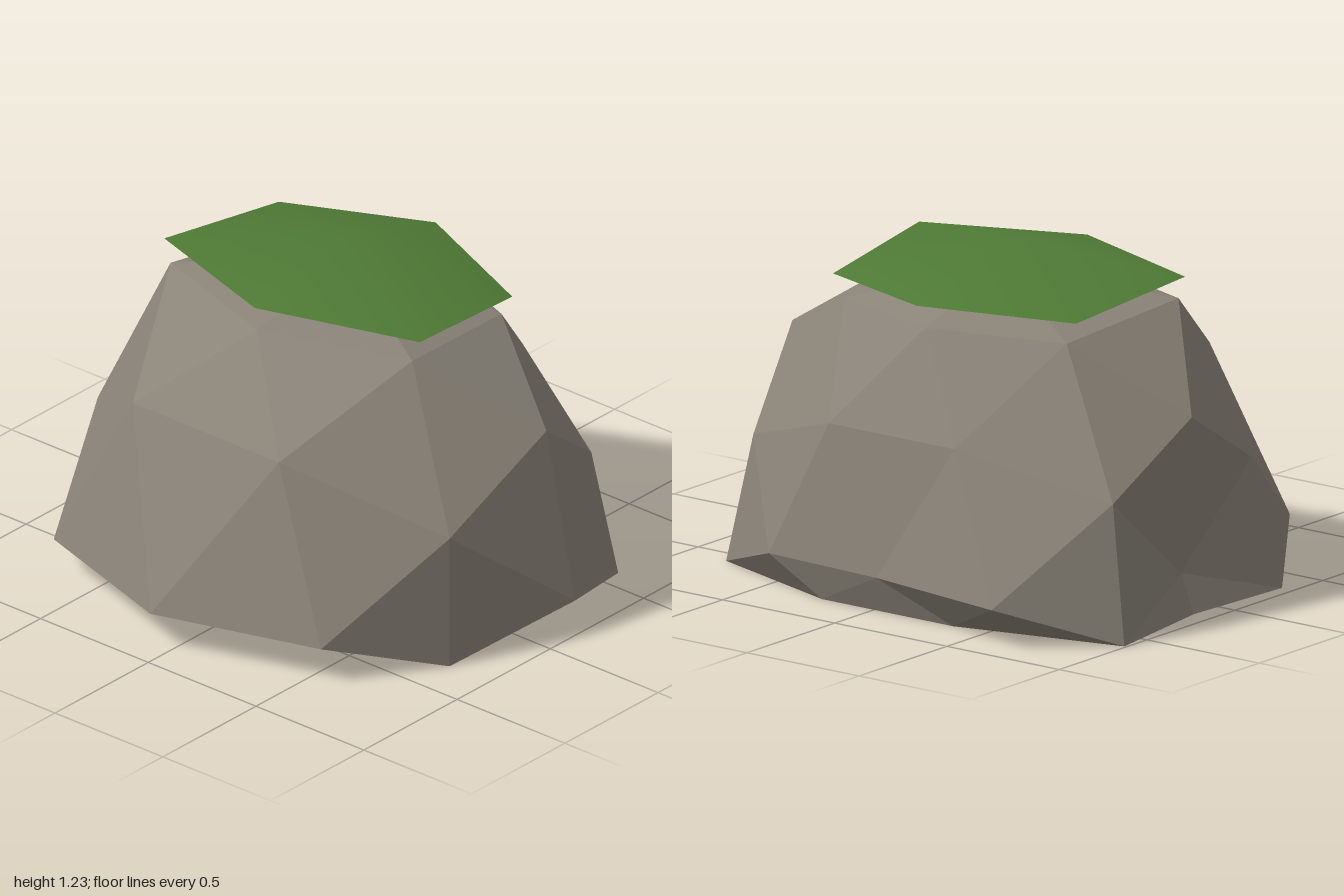
import * as THREE from 'three';
import { mergeVertices } from 'three/addons/utils/BufferGeometryUtils.js';

const CENTRE = new THREE.Vector3(-0.06, 0.14, -0.13);
const STRETCH = new THREE.Vector3(1.18, 1.29, 1);

// Radial bumps, keyed by |x|,|y| of the sphere vertex.
// Order: [+x+z, -x+z, +x-z, -x-z]; x = 0 or z = 0 counts as plus.
const UPPER = {
  '0.00,1.00': [0.915],
  '0.00,0.85': [0.91, 0, 0.82],
  '0.50,0.81': [0.95, 0.95, 0.84, 0.84],
  '0.85,0.53': [0.926, 0.846],
  '0.31,0.50': [0.93, 0.93, 0.77, 0.77],
  '0.81,0.31': [0.92, 0.83, 0.82, 0.885],
  '1.00,0.00': [0.9, 0.68],
  '0.00,0.00': [1.05, 0, 0.71],
  '0.53,0.00': [1.01, 1.0, 0.805, 0.94],
};
const LOWER = {
  '0.85,0.53': [0.86, 0.856],
  '0.31,0.50': [0.865, 0.865, 0.8, 0.8],
  '0.81,0.31': [0.92, 0.93, 0.91, 0.975],
};

function bump(v) {
  const key = `${Math.abs(v.x).toFixed(2)},${Math.abs(v.y).toFixed(2)}`;
  const quadrant = (v.x < -0.01 ? 1 : 0) + (v.z < -0.01 ? 2 : 0);
  const row = (v.y < -0.01 ? LOWER : UPPER)[key];
  return row ? row[quadrant] : 0.85;
}

// Moves every vertex of a geometry by a rule
function reshape(geometry, rule) {
  const p = geometry.attributes.position;
  const v = new THREE.Vector3();
  for (let i = 0; i < p.count; i++) {
    rule(v.fromBufferAttribute(p, i));
    p.setXYZ(i, v.x, v.y, v.z);
  }
  geometry.computeVertexNormals();
  return geometry;
}

// Faceted boulder: bumpy sphere, softened on top and cut flat at the ground
function makeRock() {
  const geometry = new THREE.IcosahedronGeometry(1, 1).rotateY(Math.PI / 2);
  reshape(geometry, (v) => {
    v.multiplyScalar(bump(v)).multiply(STRETCH);
    if (v.y > 0.8) v.y = 0.8 + (v.y - 0.8) * 0.5;
    v.add(CENTRE);
    v.y = Math.max(0, v.y);
  });
  const material = new THREE.MeshStandardMaterial({ color: 0x8a8378, flatShading: true });
  const rock = new THREE.Mesh(geometry, material);
  rock.name = 'rock';
  return rock;
}

// Thin six-sided moss cap, tilted and uneven at the rim
function makeMoss() {
  const radii = [0.49, 0.58, 0.53, 0.48, 0.53, 0.58];
  const heights = [1.13, 1.12, 1.06, 1.08, 1.06, 1.12];
  const cone = new THREE.ConeGeometry(1, 1, 6, 1, true);
  cone.deleteAttribute('normal');
  cone.deleteAttribute('uv');
  const geometry = reshape(mergeVertices(cone), (v) => {
    if (v.y > 0) {
      v.set(CENTRE.x, 1.23, CENTRE.z);
      return;
    }
    const k = (Math.round(Math.atan2(v.x, v.z) / (Math.PI / 3)) + 6) % 6;
    v.set(CENTRE.x + v.x * radii[k] * 1.18, heights[k], CENTRE.z + v.z * radii[k]);
  });
  const material = new THREE.MeshStandardMaterial({ color: 0x4f7a35, side: THREE.DoubleSide });
  const moss = new THREE.Mesh(geometry, material);
  moss.name = 'mossCap';
  return moss;
}

export function createModel() {
  const group = new THREE.Group();
  group.name = 'mossyRock';
  group.add(makeRock(), makeMoss());
  return group;
}
